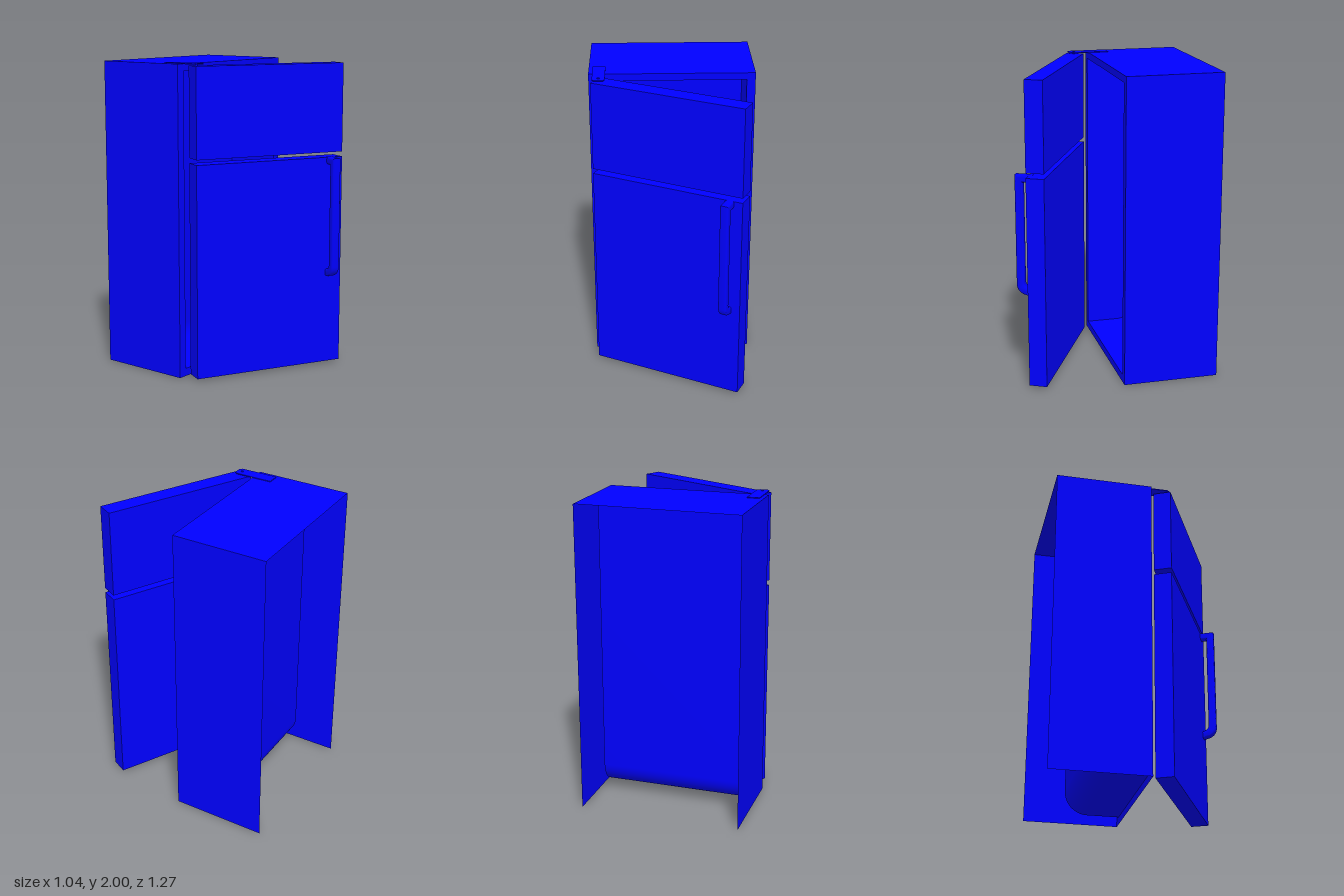
import * as THREE from 'three';
import { toCreasedNormals } from 'three/addons/utils/BufferGeometryUtils.js';

const paint = new THREE.MeshStandardMaterial({ color: 0x0000ff });
const thinPaint = new THREE.MeshStandardMaterial({ color: 0x0000ff, side: THREE.DoubleSide });

function add(parent, name, geometry, material, x = 0, y = 0, z = 0) {
  const mesh = new THREE.Mesh(geometry, material);
  mesh.name = name;
  mesh.position.set(x, y, z);
  parent.add(mesh);
  return mesh;
}

// Rectangle traced as a closed path
function rect(path, x0, y0, x1, y1) {
  path.moveTo(x0, y0);
  path.lineTo(x1, y0);
  path.lineTo(x1, y1);
  path.lineTo(x0, y1);
  path.closePath();
  return path;
}

// Sheet spanning -halfWidth..halfWidth in x along a (z, y) profile
function sheet(points, halfWidth) {
  const positions = [];
  for (let i = 0; i < points.length - 1; i++) {
    const a = points[i], b = points[i + 1], w = halfWidth;
    positions.push(-w, a.y, a.x, w, a.y, a.x, w, b.y, b.x);
    positions.push(-w, a.y, a.x, w, b.y, b.x, -w, b.y, b.x);
  }
  const geometry = new THREE.BufferGeometry();
  geometry.setAttribute('position', new THREE.Float32BufferAttribute(positions, 3));
  geometry.computeVertexNormals();
  return toCreasedNormals(geometry, 0.6);
}

const H = 1.99, HALF = 0.52, FRONT = -0.01, BACK = -0.63;

function makeCabinet() {
  const cabinet = new THREE.Group();
  cabinet.name = 'cabinet';
  const depth = FRONT - BACK, midZ = (FRONT + BACK) / 2;

  // Thin outer shell, open at the back and underneath
  for (const side of [-1, 1]) {
    const wall = add(cabinet, side > 0 ? 'leftWall' : 'rightWall',
      new THREE.PlaneGeometry(depth, H), thinPaint, side * HALF, H / 2, midZ);
    wall.rotation.y = side * Math.PI / 2;
  }
  const top = add(cabinet, 'topPanel', new THREE.PlaneGeometry(2 * HALF, depth), thinPaint, 0, H, midZ);
  top.rotation.x = -Math.PI / 2;

  // Front frame around the opening
  const inner = HALF - 0.055, low = 0.05, high = H - 0.045;
  const frame = rect(new THREE.Shape(), -HALF, 0, HALF, H);
  frame.holes.push(rect(new THREE.Path(), -inner, low, inner, high));
  add(cabinet, 'frontFrame', new THREE.ShapeGeometry(frame), thinPaint, 0, 0, FRONT);

  // Inner liner with a rounded corner between floor and back
  const rear = -0.37, r = 0.15;
  const profile = new THREE.Shape();
  profile.moveTo(FRONT, low);
  profile.lineTo(rear + r, low);
  profile.absarc(rear + r, low + r, r, -Math.PI / 2, -Math.PI, true);
  profile.lineTo(rear, high);
  profile.lineTo(FRONT, high);
  add(cabinet, 'liner', sheet(profile.getPoints(10), inner), thinPaint);
  for (const side of [-1, 1]) {
    const cheek = add(cabinet, 'linerSide', new THREE.ShapeGeometry(profile, 10), thinPaint, side * inner);
    cheek.rotation.y = -Math.PI / 2;
  }
  return cabinet;
}

// Pull handle: a bar flush with the door top that curves back at its foot
function makeHandle() {
  const bevel = 0.012, width = 0.055;
  const s = new THREE.Shape();
  s.moveTo(-0.01, 1.368);
  s.lineTo(0.078, 1.368);
  s.lineTo(0.078, 0.67);
  s.quadraticCurveTo(0.076, 0.612, -0.01, 0.607);
  s.lineTo(-0.01, 0.63);
  s.quadraticCurveTo(0.048, 0.635, 0.052, 0.68);
  s.lineTo(0.052, 1.345);
  s.lineTo(-0.01, 1.345);
  s.closePath();
  const geometry = new THREE.ExtrudeGeometry(s, {
    depth: width - 2 * bevel, curveSegments: 10,
    bevelEnabled: true, bevelSize: bevel, bevelThickness: bevel, bevelSegments: 4,
  });
  geometry.translate(0, 0, bevel - width / 2);
  geometry.rotateY(-Math.PI / 2);
  return toCreasedNormals(geometry, 0.7);
}

// Two doors standing open together
function makeDoors() {
  const doors = new THREE.Group();
  doors.name = 'doors';
  doors.position.set(-0.0225, 0, 0.3025);
  doors.rotation.y = -THREE.MathUtils.degToRad(27);
  const width = 1.02, thick = 0.115;
  for (const [name, y0, y1] of [['lowerDoor', 0.015, 1.378], ['upperDoor', 1.41, 1.98]]) {
    add(doors, name, new THREE.BoxGeometry(width, y1 - y0, thick), paint, 0, (y0 + y1) / 2, 0);
  }
  add(doors, 'handle', makeHandle(), paint, 0.425, 0, thick / 2);
  return doors;
}

// Hinge plate with clipped front corners, and its pin
function makeHinge() {
  const hinge = new THREE.Group();
  hinge.name = 'topHinge';
  const s = new THREE.Shape();
  s.moveTo(-0.04, 0.14);
  s.lineTo(-0.04, -0.105);
  s.lineTo(-0.025, -0.122);
  s.lineTo(0.025, -0.122);
  s.lineTo(0.04, -0.105);
  s.lineTo(0.04, 0.14);
  s.closePath();
  const plate = new THREE.ExtrudeGeometry(s, { depth: 0.006, bevelEnabled: false });
  plate.rotateX(-Math.PI / 2);
  add(hinge, 'hingePlate', plate, paint, 0, H - 0.001, 0);
  add(hinge, 'hingePin', new THREE.CylinderGeometry(0.008, 0.008, 0.05, 16), paint, 0, 1.975, 0.085);
  hinge.position.x = -0.455;
  return hinge;
}

export function createModel() {
  const model = new THREE.Group();
  model.name = 'refrigerator';
  model.add(makeCabinet(), makeDoors(), makeHinge());
  return model;
}
